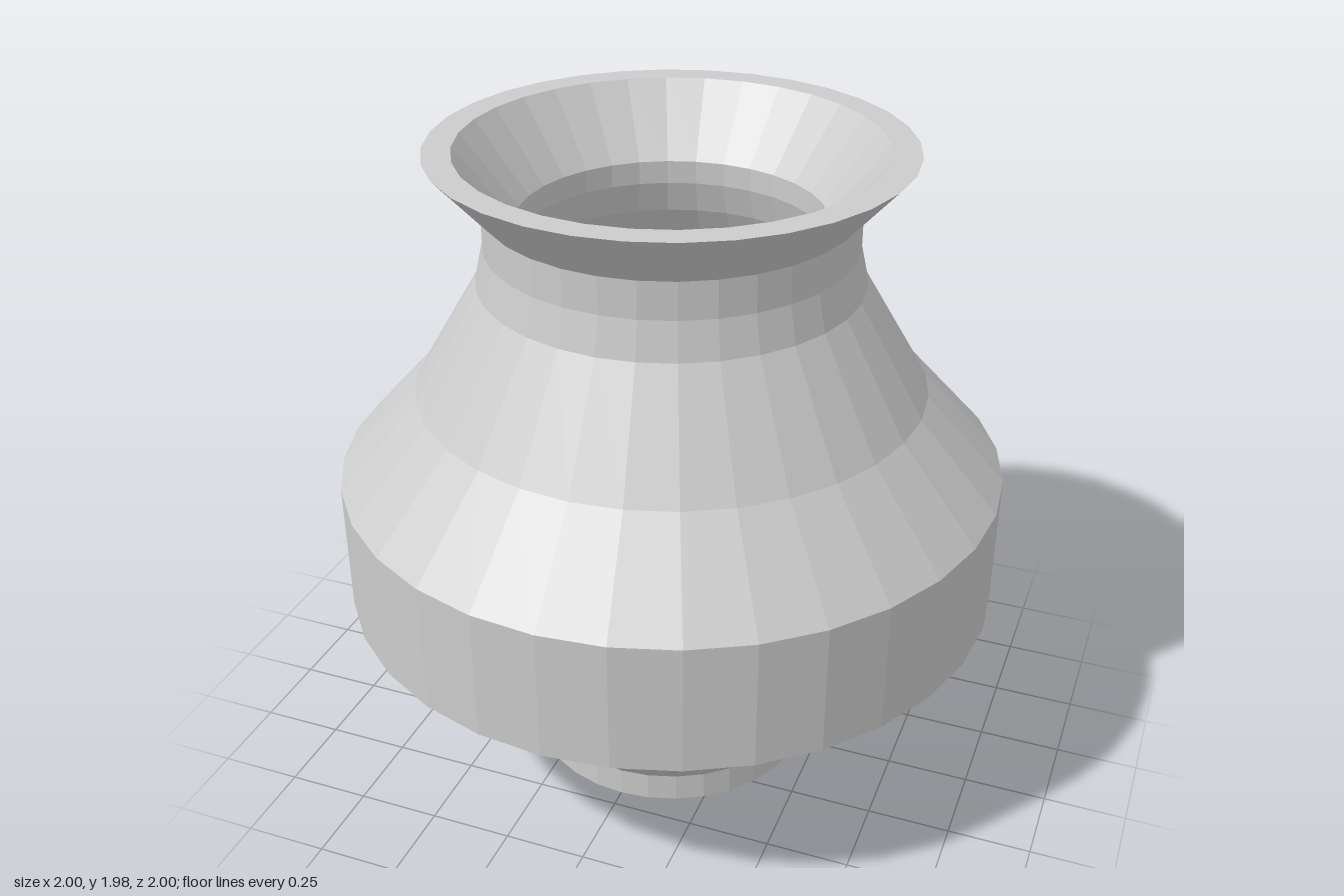
import * as THREE from 'three';

const SEGMENTS = 32;

// Faceted part of revolution from [radius, height] pairs
function turned(name, profile, material) {
  const points = profile.map(([r, y]) => new THREE.Vector2(r, y));
  const mesh = new THREE.Mesh(new THREE.LatheGeometry(points, SEGMENTS), material);
  mesh.name = name;
  return mesh;
}

export function createModel() {
  const vase = new THREE.Group();
  vase.name = 'vase';
  const clay = new THREE.MeshStandardMaterial({ color: 0xcccccc, flatShading: true });

  // Foot with closed underside
  vase.add(turned('foot', [[0, 0], [0.445, 0], [0.445, 0.09]], clay));

  // Belly: two-step flare, straight band, two-step shoulder
  vase.add(turned('belly', [
    [0.445, 0.09], [0.71, 0.365], [1, 0.595], [1, 0.995], [0.76, 1.26], [0.565, 1.59],
  ], clay));

  // Neck
  vase.add(turned('neck', [[0.565, 1.59], [0.54, 1.7], [0.54, 1.81]], clay));

  // Flared lip, flat on top, sloping in to the mouth
  vase.add(turned('lip', [[0.54, 1.81], [0.692, 1.98], [0.61, 1.98], [0.445, 1.77]], clay));

  // Hollow inside, following the outer wall down to a flat floor
  vase.add(turned('interior', [
    [0.445, 1.77], [0.445, 1.7], [0.475, 1.6], [0.68, 1.22], [0.91, 0.96],
    [0.91, 0.64], [0.65, 0.43], [0.445, 0.2], [0, 0.2],
  ], clay));

  return vase;
}
